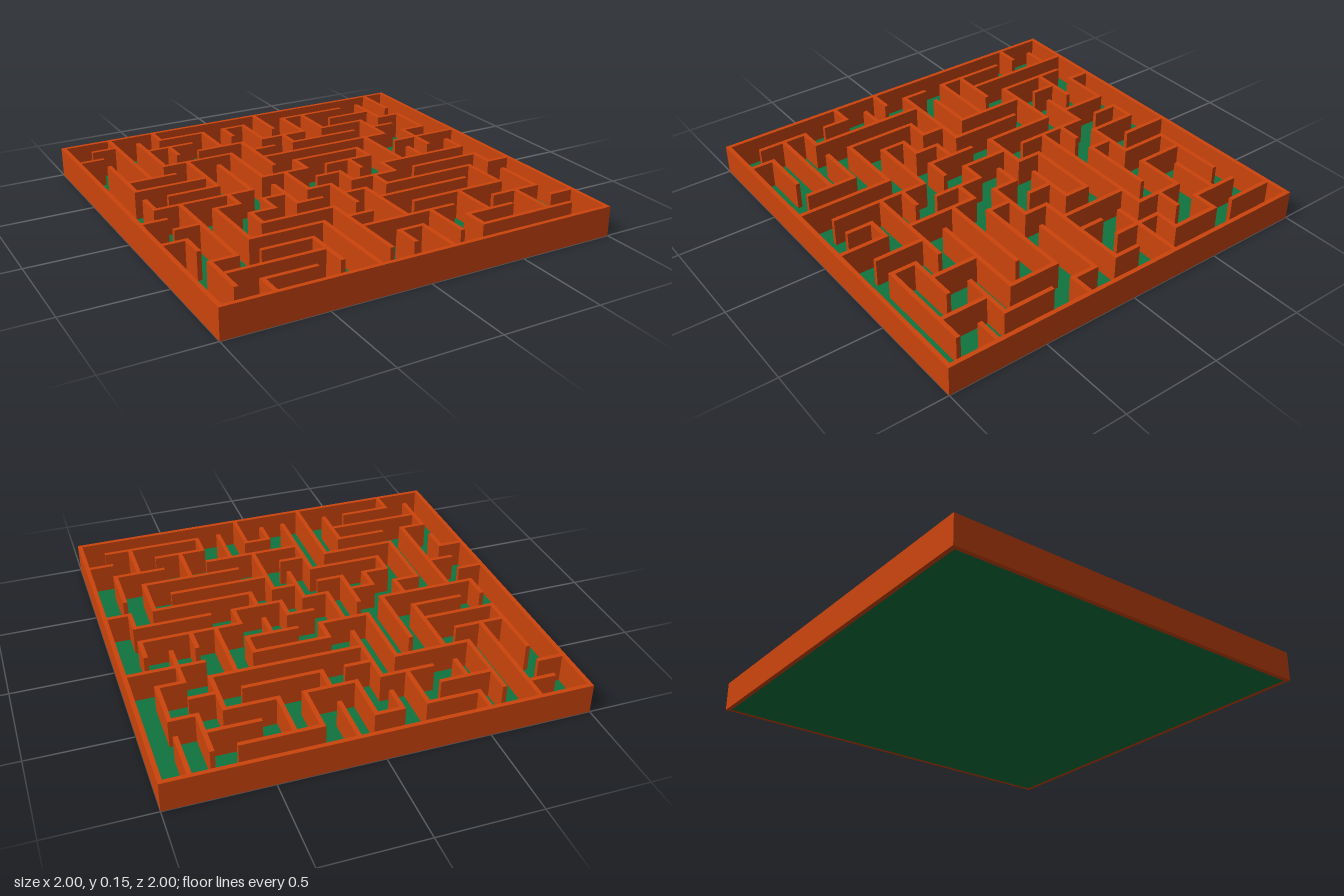
import * as THREE from 'three';

const CELLS = 16, WALL = 0.022, HEIGHT = 0.15, FLOOR = 0.01;
const STEP = (2 - WALL) / CELLS;

// Wall runs along x on grid lines 1 to 15, from back to front ("from-to" in cells)
const rows = [
  '1-2 4-6 7-8 10-13',
  '0-1 3-5 12-14',
  '5-7 8-10 11-13 14-15',
  '3-6 7-8 9-12 13-14',
  '1-3 7-13 14-15',
  '1-4 8-11 13-16',
  '2-4 6-8 9-11',
  '1-5 8-9 11-15',
  '0-1 3-4 5-6 7-8 9-11 12-15',
  '1-2 4-5 6-7 8-9 10-14 15-16',
  '0-1 4-7 9-13',
  '3-6 7-8 10-14',
  '1-2 3-5 7-11 13-15',
  '1-5 8-9 11-13 15-16',
  '2-4 11-15',
];

// Wall runs along z on grid lines 1 to 15, from -x to +x
const columns = [
  '3-6 7-8 11-12 13-15',
  '0-5 8-13 15-16',
  '1-4 9-12',
  '0-1 2-3 4-7 8-9 10-11',
  '5-8 9-10 13-15',
  '1-3 4-7 8-10 12-16',
  '1-2 3-6 7-9 11-15',
  '1-3 6-7 9-11 14-15',
  '0-2 3-4 8-9 10-13 14-16',
  '1-3 7-8 9-10 13-15',
  '1-3 6-7 8-9 14-15',
  '5-8 12-14',
  '3-5 7-8',
  '1-3 5-7 10-12 13-15',
  '0-2 3-5 7-8 9-10 11-13',
];

export function createModel() {
  const model = new THREE.Group();
  model.name = 'mazeTray';
  const orange = new THREE.MeshStandardMaterial({ color: 0xcc440c });
  const green = new THREE.MeshStandardMaterial({ color: 0x10743e });
  const at = (i) => (i - CELLS / 2) * STEP;

  // Floor panel set inside the frame
  const inner = 2 - 2 * WALL;
  const floor = new THREE.Mesh(new THREE.BoxGeometry(inner, FLOOR, inner), green);
  floor.name = 'floor';
  floor.position.y = FLOOR / 2;
  model.add(floor);

  // Outer frame: a square outline with a square hole
  const square = (path, h) => path.moveTo(-h, -h).lineTo(h, -h).lineTo(h, h).lineTo(-h, h).closePath();
  const outline = square(new THREE.Shape(), 1);
  outline.holes.push(square(new THREE.Path(), inner / 2));
  const frameGeometry = new THREE.ExtrudeGeometry(outline, { depth: HEIGHT, bevelEnabled: false });
  frameGeometry.rotateX(-Math.PI / 2);
  const frame = new THREE.Mesh(frameGeometry, orange);
  frame.name = 'frame';
  model.add(frame);

  // Inner walls stand on the floor and run half a thickness past their grid points
  const walls = new THREE.Group();
  walls.name = 'innerWalls';
  model.add(walls);
  const addRuns = (lines, alongX) => lines.forEach((line, k) => {
    for (const run of line.split(' ')) {
      const [a, b] = run.split('-').map(Number);
      // Runs that meet the frame stop at its centre line
      const start = at(a) - (a > 0 ? WALL / 2 : 0);
      const end = at(b) + (b < CELLS ? WALL / 2 : 0);
      const h = HEIGHT - FLOOR, length = end - start, middle = (start + end) / 2;
      const wall = new THREE.Mesh(
        new THREE.BoxGeometry(alongX ? length : WALL, h, alongX ? WALL : length), orange);
      wall.position.set(alongX ? middle : at(k + 1), FLOOR + h / 2, alongX ? at(k + 1) : middle);
      wall.name = alongX ? 'crossWall' : 'lengthWall';
      walls.add(wall);
    }
  });
  addRuns(rows, true);
  addRuns(columns, false);

  return model;
}
